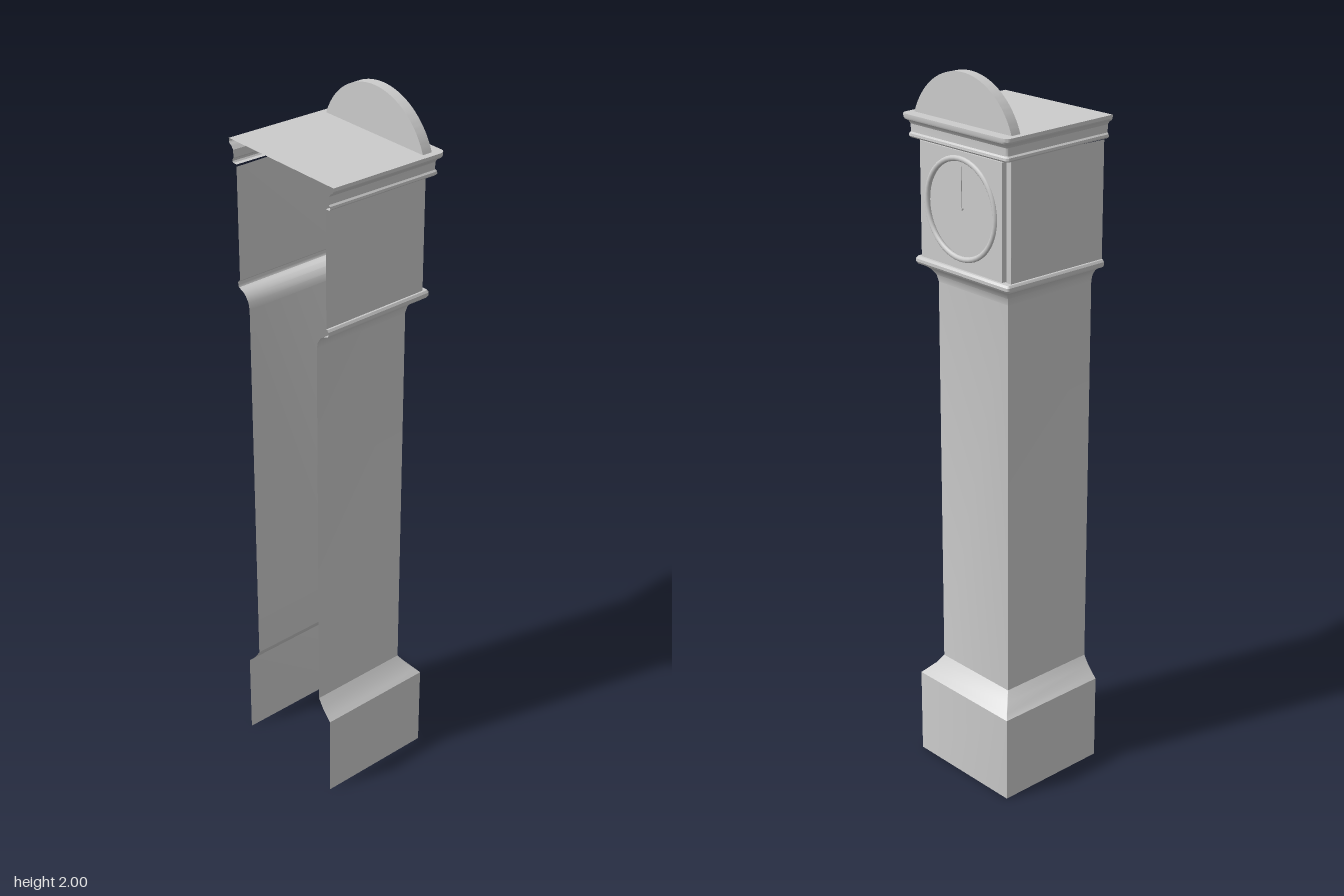
import * as THREE from 'three';
import { toCreasedNormals } from 'three/addons/utils/BufferGeometryUtils.js';

const BACK = -0.18;
const DIAL_Y = 1.655;
const material = new THREE.MeshStandardMaterial({ color: 0xcccccc, side: THREE.DoubleSide });

function add(group, name, geometry, x = 0, y = 0, z = 0) {
  const mesh = new THREE.Mesh(geometry, material);
  mesh.name = name;
  mesh.position.set(x, y, z);
  group.add(mesh);
  return mesh;
}

// Three-sided case shell, open at the back, from rings of
// [height, half width, front x, corner radius]; slope lifts the back edge.
function shell(rings, slope = 0) {
  const steps = 5;
  const positions = [];
  const index = [];
  const count = 2 * (steps + 2);
  for (const [y, w, f, r = 0.001] of rings) {
    const half = [[BACK, w]];
    for (let k = 0; k <= steps; k++) {
      const a = (k / steps) * Math.PI / 2;
      half.push([f - r + r * Math.sin(a), Math.max(w - r, 0) + Math.min(r, w) * Math.cos(a)]);
    }
    const path = half.map(([x, z]) => [x, -z]).concat(half.slice().reverse());
    for (const [x, z] of path) positions.push(x, y + slope * (0.18 - x) / 0.36, z);
  }
  for (let i = 0; i < rings.length - 1; i++) {
    for (let j = 0; j < count - 1; j++) {
      const a = i * count + j, b = a + count;
      index.push(a, b, a + 1, a + 1, b, b + 1);
    }
  }
  const geometry = new THREE.BufferGeometry();
  geometry.setAttribute('position', new THREE.Float32BufferAttribute(positions, 3));
  geometry.setIndex(index);
  return toCreasedNormals(geometry, 0.5);
}

export function createModel() {
  const clock = new THREE.Group();
  clock.name = 'longcaseClock';

  // Plinth and tall trunk with flared ends
  add(clock, 'plinth', shell([[0, 0.182, 0.163], [0.25, 0.182, 0.163]]));
  add(clock, 'trunk', shell([
    [0.25, 0.182, 0.163], [0.262, 0.17, 0.152], [0.283, 0.151, 0.132], [0.308, 0.135, 0.116],
    [1.425, 0.135, 0.116], [1.444, 0.139, 0.12], [1.459, 0.149, 0.13],
    [1.468, 0.161, 0.14], [1.472, 0.172, 0.149],
  ]));

  // Rounded moulding under the hood
  add(clock, 'hoodMoulding', shell([
    [1.472, 0.172, 0.149], [1.474, 0.177, 0.154, 0.006], [1.48, 0.18, 0.158, 0.008],
    [1.488, 0.18, 0.158, 0.008], [1.494, 0.176, 0.154, 0.006], [1.495, 0.172, 0.14],
  ]));
  add(clock, 'hood', shell([[1.495, 0.172, 0.14], [1.81, 0.172, 0.14]]));

  // Stepped cornice with rounded front corners, and the roof
  add(clock, 'cornice', shell([
    [1.81, 0.172, 0.14], [1.81, 0.185, 0.166, 0.008], [1.814, 0.188, 0.169, 0.01],
    [1.82, 0.187, 0.168, 0.01], [1.824, 0.183, 0.164, 0.008], [1.845, 0.184, 0.165, 0.008],
    [1.853, 0.189, 0.17, 0.012], [1.858, 0.197, 0.178, 0.017], [1.863, 0.2, 0.18, 0.018],
    [1.872, 0.2, 0.18, 0.018],
  ], 0.006));
  add(clock, 'roof', shell([[1.872, 0.2, 0.18, 0.018], [1.872, 0, 0.18]], 0.006));

  // Arched crest standing on the roof
  const chord = 0.183, base = 1.87, rise = 2 - base;
  const radius = (chord * chord + rise * rise) / (2 * rise);
  const start = Math.asin((rise - radius) / radius * -1);
  const arch = new THREE.Shape();
  arch.absarc(0, 2 - radius, radius, -start * Math.sign(radius - rise) * -1, Math.PI - start, false);
  arch.closePath();
  const archGeometry = new THREE.ExtrudeGeometry(arch, { depth: 0.029, bevelEnabled: false, curveSegments: 32 });
  add(clock, 'crest', toCreasedNormals(archGeometry, 0.5), 0.119).rotation.y = Math.PI / 2;

  // Door with a round opening
  const door = new THREE.Shape();
  door.moveTo(-0.155, 1.498);
  door.lineTo(0.155, 1.498);
  door.lineTo(0.155, 1.804);
  door.lineTo(-0.155, 1.804);
  door.closePath();
  door.holes.push(new THREE.Path().absarc(0, DIAL_Y, 0.126, 0, Math.PI * 2, true));
  const doorGeometry = new THREE.ExtrudeGeometry(door, { depth: 0.015, bevelEnabled: false, curveSegments: 40 });
  add(clock, 'door', toCreasedNormals(doorGeometry, 0.5), 0.14).rotation.y = Math.PI / 2;

  // Dial, bezel and hand
  const face = add(clock, 'dial', new THREE.CircleGeometry(0.128, 48), 0.148, DIAL_Y);
  face.rotation.y = Math.PI / 2;
  const bezel = add(clock, 'bezel', new THREE.TorusGeometry(0.13, 0.0075, 10, 48), 0.154, DIAL_Y);
  bezel.rotation.y = Math.PI / 2;
  const hub = add(clock, 'handHub', new THREE.CylinderGeometry(0.004, 0.004, 0.006, 12), 0.151, DIAL_Y);
  hub.rotation.z = Math.PI / 2;
  add(clock, 'hand', new THREE.BoxGeometry(0.002, 0.11, 0.003), 0.152, DIAL_Y + 0.055);

  return clock;
}
